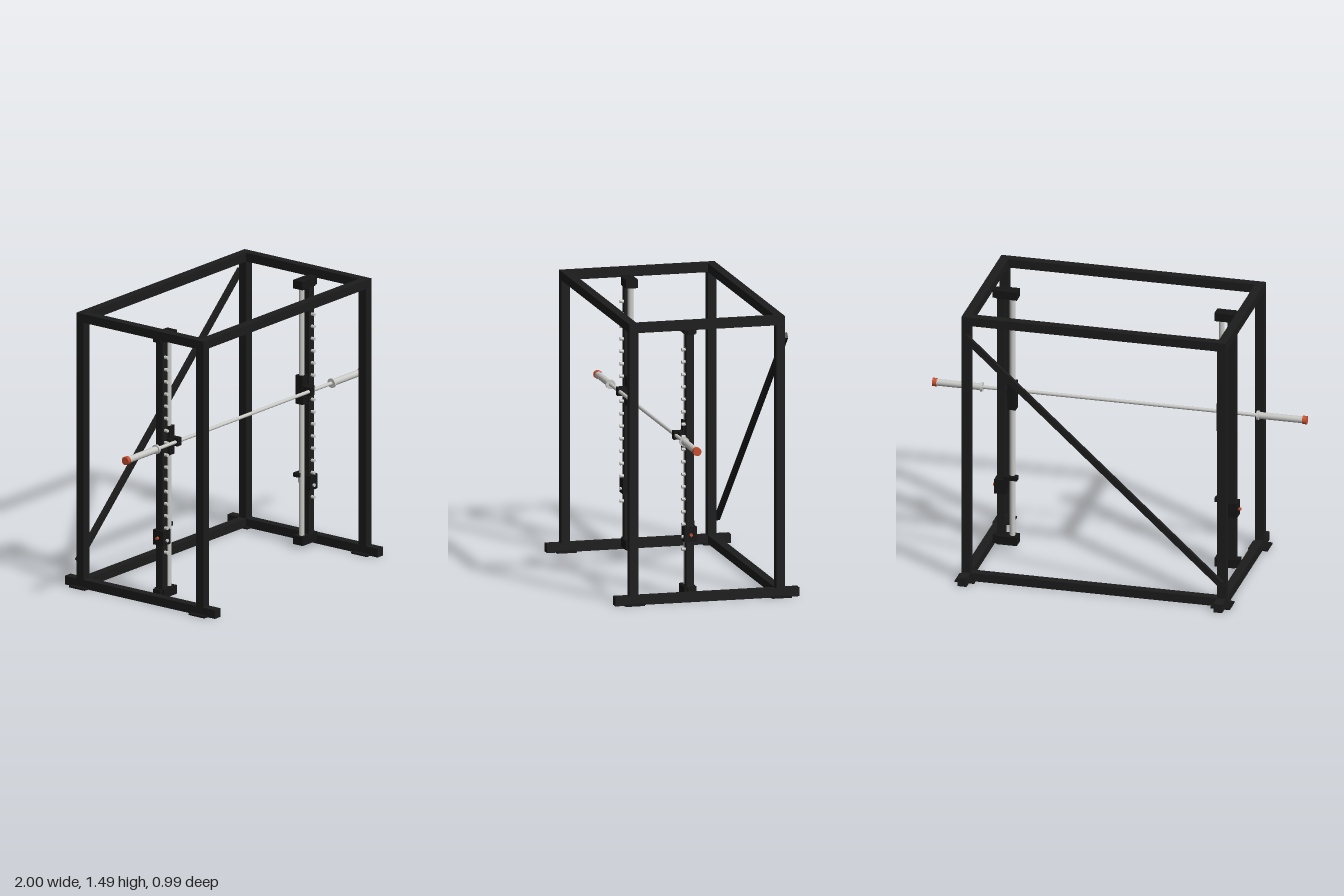
import * as THREE from 'three';

const mat = (name, color) => {
  const m = new THREE.MeshStandardMaterial({ color });
  m.name = name;
  return m;
};

export function createModel() {
  const black = mat('frame black', 0x1c1c1c);
  const dark = mat('hardware black', 0x161616);
  const steel = mat('bright steel', 0xc9c9c6);
  const red = mat('red accent', 0xc8502f);
  const root = new THREE.Group();
  root.name = 'smithMachine';

  const add = (name, geo, m, x, y, z) => {
    const mesh = new THREE.Mesh(geo, m);
    mesh.name = name;
    mesh.position.set(x, y, z);
    root.add(mesh);
    return mesh;
  };
  // Box given by its extents on each axis; s mirrors it across x
  const box = (name, m, s, [x0, x1], [y0, y1], [z0, z1]) =>
    add(name, new THREE.BoxGeometry(x1 - x0, y1 - y0, z1 - z0), m,
      s * (x0 + x1) / 2, (y0 + y1) / 2, (z0 + z1) / 2);
  // Cylinder along an axis
  const rod = (name, m, axis, r, len, x, y, z, seg = 24) => {
    const g = new THREE.CylinderGeometry(r, r, len, seg);
    if (axis === 'x') g.rotateZ(Math.PI / 2);
    if (axis === 'z') g.rotateX(Math.PI / 2);
    return add(name, g, m, x, y, z);
  };

  const T = 0.047, H = 1.487, PX = 0.683, PZ = 0.393;
  const railZ = 0.073, barY = 0.858, barZ = 0.132;
  const inner = PX - T / 2, outer = PX + T / 2;

  // Cross beams and diagonal back brace
  for (const z of [PZ, -PZ])
    box('topCrossBeam', black, 1, [-inner, inner], [H - T, H], [z - T / 2, z + T / 2]);
  box('rearFloorBeam', black, 1, [-inner, inner], [0.002, T], [-PZ - T / 2, -PZ + T / 2]);
  const brace = add('diagonalBrace', new THREE.BoxGeometry(1.85, 0.034, 0.02), black, 0, 0.757, -PZ - T / 2 - 0.01);
  brace.rotation.z = Math.atan2(1.25, 1.37);

  for (const s of [-1, 1]) {
    // Side frame
    box('floorBeam', black, s, [inner, outer], [0, T], [-0.493, 0.493]);
    box('topSideBeam', black, s, [inner, outer], [H - T, H], [-PZ - T / 2, PZ + T / 2]);
    for (const z of [PZ, -PZ]) {
      box('post', black, s, [inner, outer], [T, H - T], [z - T / 2, z + T / 2]);
      box('footPlate', dark, s, [PX - 0.052, PX + 0.052], [0, 0.008], [z - 0.052, z + 0.052]);
    }

    // Brackets carrying the upright and the guide rod
    for (const y of [[0.02, 0.067], [1.405, 1.45]]) {
      box('railBracket', dark, s, [0.528, 0.636], y, [0.04, 0.104]);
      box('bracketLink', dark, s, [0.636, inner], y, [0.05, 0.094]);
    }
    box('pegUpright', black, s, [0.596, 0.638], [0.06, 1.41], [0.052, 0.094]);
    rod('guideRod', steel, 'y', 0.015, 1.36, s * 0.559, 0.735, railZ);

    // Row of catch pegs
    for (let i = 0; i < 17; i++)
      rod('catchPeg', steel, 'z', 0.009, 0.024, s * 0.617, 0.264 + i * 0.066, 0.102, 12);

    // Sliding carriage with bar holder and catch hook
    box('carriage', dark, s, [0.537, 0.581], [0.78, 0.935], [0.051, 0.096]);
    box('barHolder', dark, s, [0.543, 0.577], [0.836, 0.88], [0.09, 0.145]);
    box('catchHook', dark, s, [0.575, 0.605], [0.838, 0.876], [0.096, 0.122]);

    // Adjustable safety stop
    box('safetyBlock', dark, s, [0.586, 0.649], [0.305, 0.385], [0.04, 0.106]);
    box('safetyArm', dark, s, [0.528, 0.6], [0.385, 0.406], [0.04, 0.078]);
    box('safetyArmStem', dark, s, [0.575, 0.6], [0.34, 0.39], [0.04, 0.078]);
    rod('safetyKnob', red, 'x', 0.008, 0.014, s * 0.655, 0.344, railZ, 16);

    // Bar end
    rod('barCollar', steel, 'x', 0.025, 0.012, s * 0.738, barY, barZ);
    rod('barSleeve', steel, 'x', 0.018, 0.24, s * 0.86, barY, barZ);
    rod('barEndCap', red, 'x', 0.022, 0.022, s * 0.989, barY, barZ);
  }
  rod('bar', steel, 'x', 0.0095, 1.48, 0, barY, barZ);

  return root;
}
